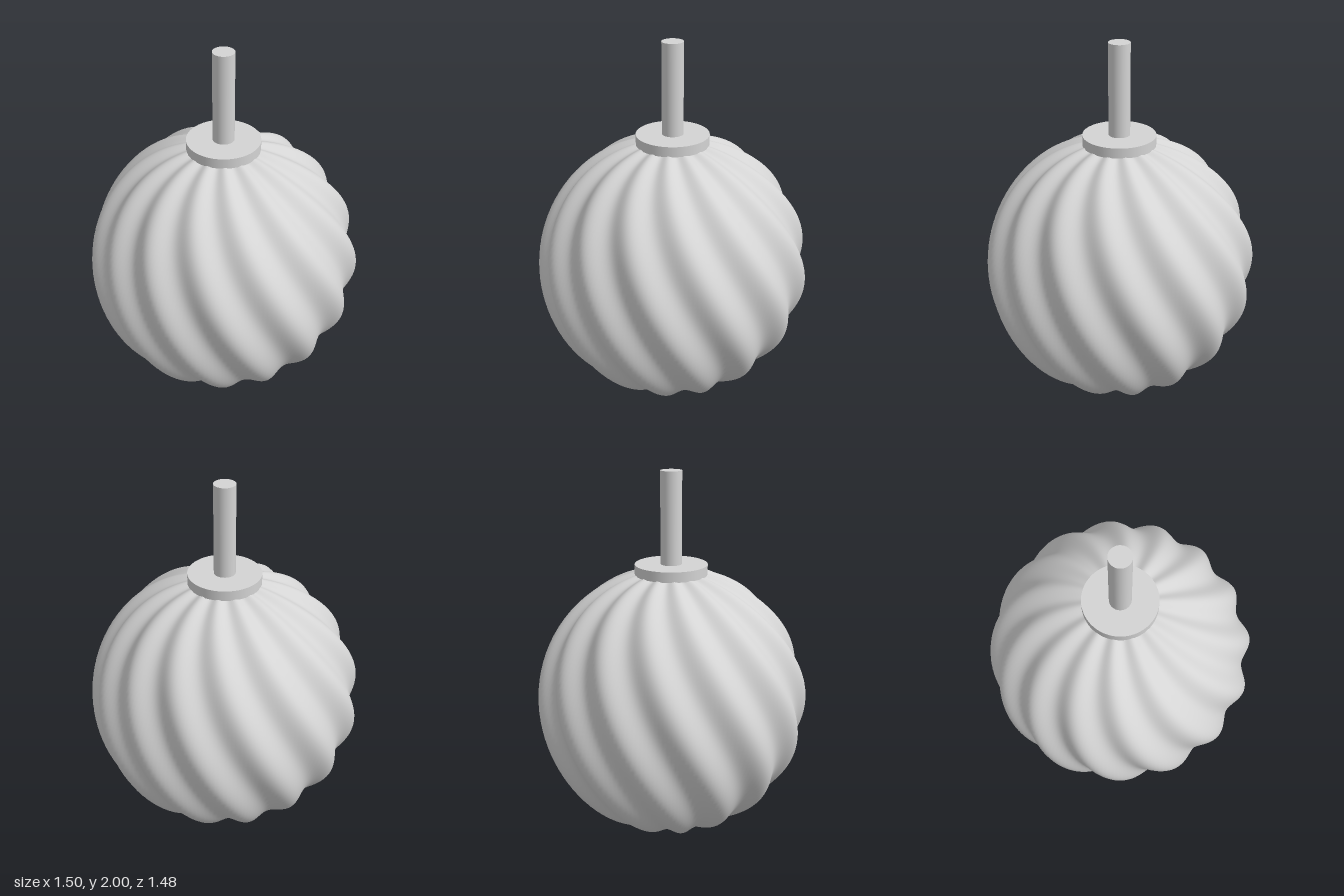
import * as THREE from 'three';

const RADIUS = 0.75, CENTRE_Y = 0.735, LOBES = 14, DEPTH = 0.048;
const TWIST = Math.PI / 3, START = 0.2; // total twist, polar angle of the cut ends
const COLS = LOBES * 16, ROWS = 90;

// Point on the twisted, lobed ball; t is the polar angle from the bottom
function ballPoint(t, phi) {
  const crest = -0.05 + (TWIST / 2) * Math.cos(t);
  const groove = (1 - Math.cos(LOBES * (phi - crest))) / 2;
  const d = RADIUS - DEPTH * Math.sin(t) * groove;
  const r = d * Math.sin(t);
  return [r * Math.cos(phi), CENTRE_Y - d * Math.cos(t), -r * Math.sin(phi)];
}

function geometryFrom(positions, indices) {
  const g = new THREE.BufferGeometry();
  g.setAttribute('position', new THREE.Float32BufferAttribute(positions, 3));
  g.setIndex(indices);
  g.computeVertexNormals();
  return g;
}

function ballGeometry() {
  const pos = [], idx = [];
  for (let i = 0; i <= ROWS; i++) {
    const t = START + (Math.PI - 2 * START) * i / ROWS;
    for (let j = 0; j < COLS; j++) pos.push(...ballPoint(t, j / COLS * Math.PI * 2));
  }
  for (let i = 0; i < ROWS; i++) {
    for (let j = 0; j < COLS; j++) {
      const k = (j + 1) % COLS;
      const a = i * COLS + j, b = i * COLS + k, c = b + COLS, d = a + COLS;
      idx.push(a, b, c, a, c, d);
    }
  }
  return geometryFrom(pos, idx);
}

// Scalloped disc closing one end of the ball, shaded flat
function capGeometry(t, up) {
  const pos = [0, ballPoint(t, 0)[1], 0], idx = [];
  for (let j = 0; j < COLS; j++) {
    pos.push(...ballPoint(t, j / COLS * Math.PI * 2));
    const a = j + 1, b = (j + 1) % COLS + 1;
    idx.push(0, up ? a : b, up ? b : a);
  }
  const g = geometryFrom(pos, idx);
  for (let i = 0; i <= COLS; i++) g.attributes.normal.setXYZ(i, 0, up ? 1 : -1, 0);
  return g;
}

export function createModel() {
  const grey = new THREE.MeshStandardMaterial({ color: 0xd4d4d4 });
  grey.name = 'light grey';
  const model = new THREE.Group();
  model.name = 'twistedBallOrnament';
  const add = (name, geometry, y = 0) => {
    const mesh = new THREE.Mesh(geometry, grey);
    mesh.name = name;
    mesh.position.y = y;
    model.add(mesh);
  };

  // Spiral-fluted ball with its flat ends
  add('flutedBall', ballGeometry());
  add('bottomCap', capGeometry(START, false));
  add('topCap', capGeometry(Math.PI - START, true));

  // Collar plate and hanging rod
  add('collar', new THREE.CylinderGeometry(0.195, 0.195, 0.055, 64), 1.4825);
  add('rod', new THREE.CylinderGeometry(0.057, 0.057, 0.5, 48), 1.75);
  return model;
}
